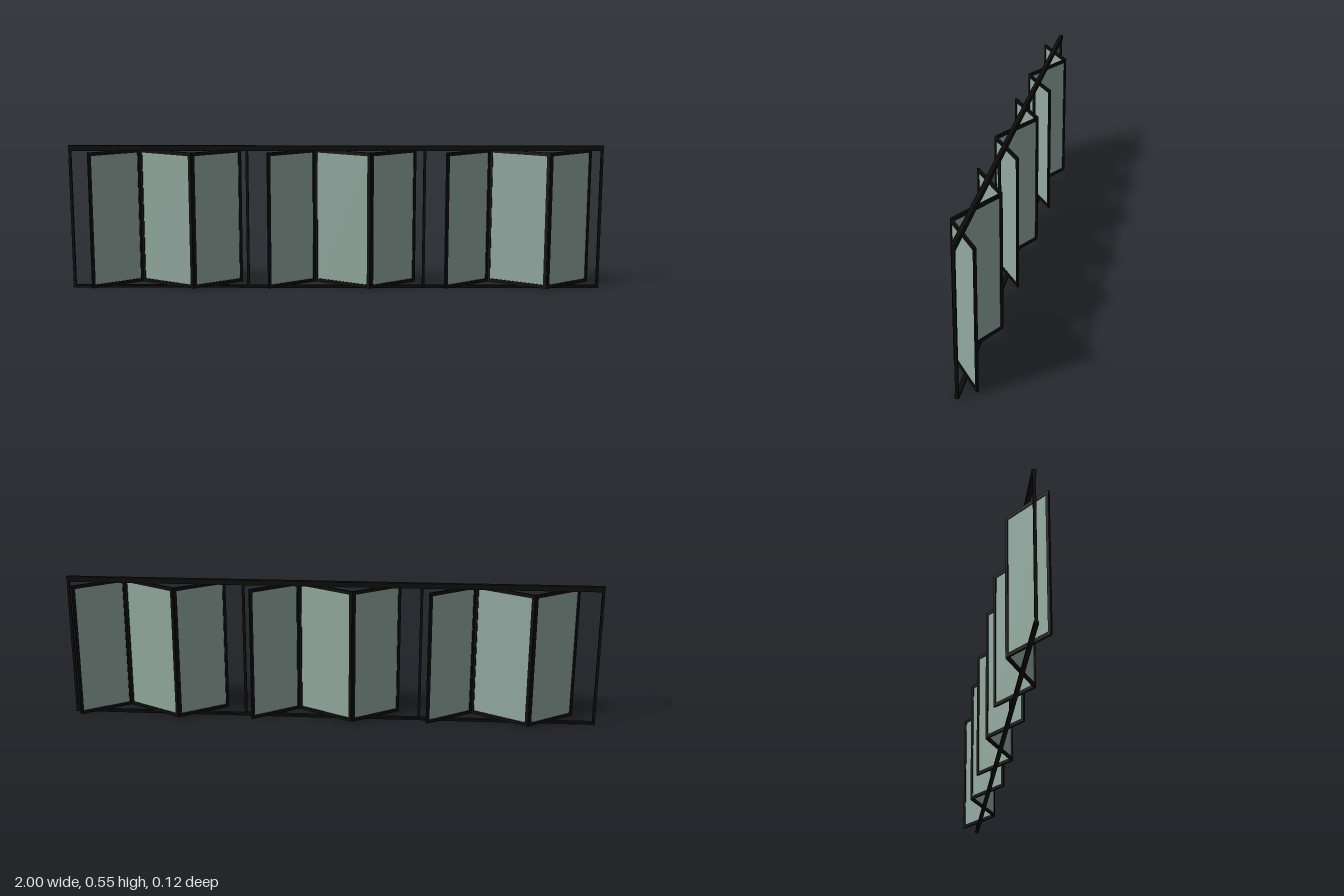
import * as THREE from 'three';

const black = new THREE.MeshStandardMaterial({ color: 0x0d0d0c });
const green = new THREE.MeshStandardMaterial({ color: 0x93aaa1 });

function box(parent, name, size, pos, material = black) {
  const mesh = new THREE.Mesh(new THREE.BoxGeometry(...size), material);
  mesh.name = name;
  mesh.position.set(...pos);
  parent.add(mesh);
  return mesh;
}

// Framed glass leaf spanning two points in plan
function makeLeaf(x0, z0, x1, z1) {
  const leaf = new THREE.Group();
  leaf.name = 'foldingLeaf';
  const w = Math.hypot(x1 - x0, z1 - z0);
  const bottom = 0.01, top = 0.525, stile = 0.012, rail = 0.013, depth = 0.008;
  const h = top - bottom, mid = (top + bottom) / 2;
  for (const s of [-1, 1]) {
    box(leaf, 'leafStile', [stile, h, depth], [s * (w - stile) / 2, mid, 0]);
    box(leaf, 'leafRail', [w - 2 * stile, rail, depth], [0, mid + s * (h - rail) / 2, 0]);
  }
  box(leaf, 'glass', [w - 2 * stile, h - 2 * rail, 0.003], [0, mid, 0], green);
  leaf.position.set((x0 + x1) / 2, 0, (z0 + z1) / 2);
  leaf.rotation.y = -Math.atan2(z1 - z0, x1 - x0);
  return leaf;
}

export function createModel() {
  const model = new THREE.Group();
  model.name = 'foldingDoors';

  // Fixed outer frame with posts between the bays
  const frame = new THREE.Group();
  frame.name = 'frame';
  box(frame, 'topRail', [2, 0.02, 0.015], [0, 0.535, 0]);
  box(frame, 'bottomRail', [2, 0.01, 0.015], [0, 0.005, 0]);
  for (const x of [-0.995, -0.333, 0.333, 0.995]) {
    box(frame, 'post', [0.01, 0.515, 0.01], [x, 0.2675, 0]);
  }
  model.add(frame);

  // Three zigzag sets of three leaves
  const folds = [[-0.254, 0.057], [-0.079, -0.06], [0.129, 0.057], [0.303, -0.06]];
  for (const offset of [-0.664, 0, 0.664]) {
    const set = new THREE.Group();
    set.name = 'leafSet';
    for (let i = 0; i < 3; i++) set.add(makeLeaf(...folds[i], ...folds[i + 1]));
    set.position.x = offset;
    model.add(set);
  }
  return model;
}
